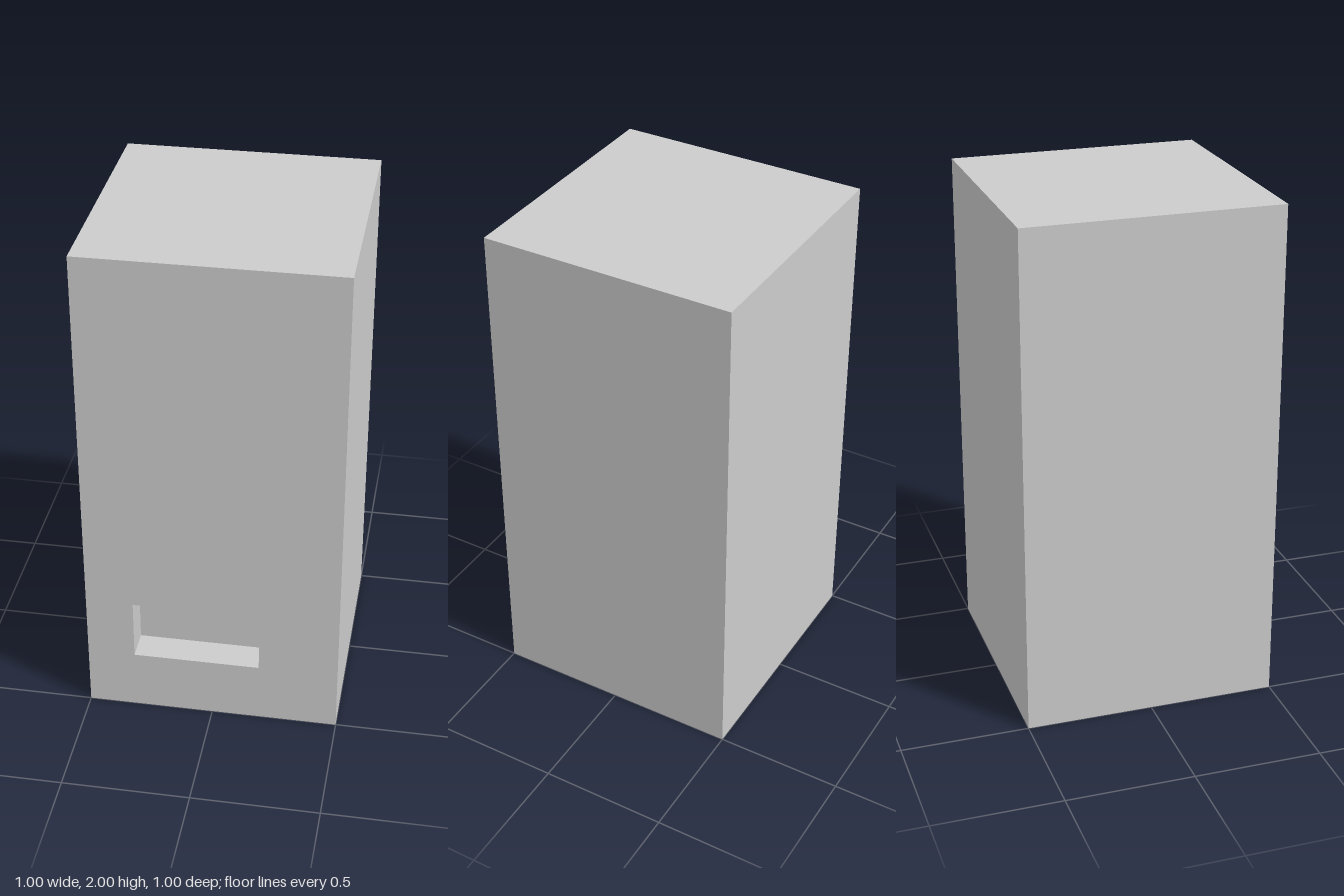
import * as THREE from 'three';

const material = new THREE.MeshStandardMaterial({ color: 0xcccccc, flatShading: true });

// Box without its +z face; inward = true turns the walls to face the inside
function openBox(w, h, d, inward = false) {
  const geo = new THREE.BoxGeometry(w, h, d);
  const index = Array.from(geo.index.array);
  index.splice(24, 6);
  if (inward) {
    index.reverse();
    geo.attributes.normal.array.forEach((n, i, a) => { a[i] = -n; });
  }
  geo.setIndex(index);
  geo.clearGroups();
  return geo;
}

function rectangle(path, x0, y0, x1, y1) {
  path.moveTo(x0, y0).lineTo(x1, y0).lineTo(x1, y1).lineTo(x0, y1).closePath();
  return path;
}

export function createModel() {
  const model = new THREE.Group();
  const add = (name, geo, x, y, z) => {
    const mesh = new THREE.Mesh(geo, material);
    mesh.name = name;
    mesh.position.set(x, y, z);
    model.add(mesh);
  };

  const width = 1, height = 2, depth = 1;
  const slot = { x0: -0.3125, x1: 0.1875, y0: 0.25, y1: 0.5, depth: 0.125 };

  // Tall cabinet: sides, back, top and bottom
  add('cabinet', openBox(width, height, depth), 0, height / 2, 0);

  // Front panel with the slot opening cut out
  const front = rectangle(new THREE.Shape(), -width / 2, 0, width / 2, height);
  front.holes.push(rectangle(new THREE.Path(), slot.x0, slot.y0, slot.x1, slot.y1));
  add('frontPanel', new THREE.ShapeGeometry(front), 0, 0, depth / 2);

  // Shallow recess behind the opening
  add('slotRecess', openBox(slot.x1 - slot.x0, slot.y1 - slot.y0, slot.depth, true),
    (slot.x0 + slot.x1) / 2, (slot.y0 + slot.y1) / 2, depth / 2 - slot.depth / 2);

  return model;
}
